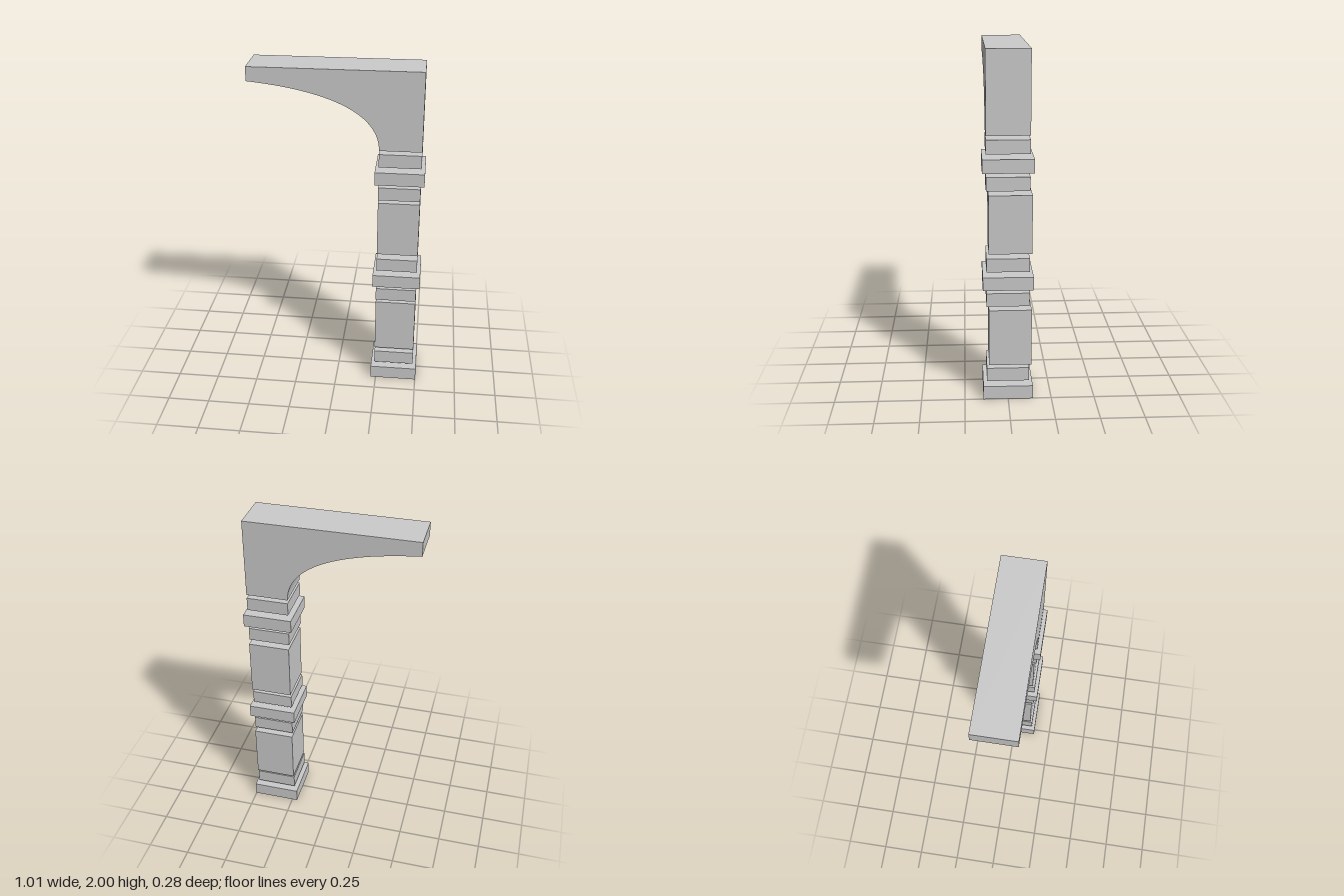
import * as THREE from 'three';

const CENTER_X = 0.36;
const NARROW = 0.243;
const WIDE = 0.285;

export function createModel() {
  const model = new THREE.Group();
  model.name = 'bracketedPillar';
  const material = new THREE.MeshStandardMaterial({ color: 0xcccccc, flatShading: true });

  // Square block between two heights; neighbours are separated by open joints
  function addBlock(name, bottom, top, width, z = 0) {
    const mesh = new THREE.Mesh(new THREE.BoxGeometry(width, top - bottom, width), material);
    mesh.position.set(CENTER_X, (bottom + top) / 2, z);
    mesh.name = name;
    model.add(mesh);
  }

  // Foot
  addBlock('base', 0, 0.08, WIDE);
  addBlock('baseCollar', 0.105, 0.185, NARROW);

  // Two storeys: a shaft set slightly back, then a ring between two collars
  ['lower', 'upper'].forEach((storey, i) => {
    const y = i * 0.67;
    addBlock(storey + 'Shaft', y + 0.205, y + 0.54, NARROW, -0.013);
    addBlock(storey + 'CollarBelowRing', y + 0.565, y + 0.643, NARROW);
    addBlock(storey + 'Ring', y + 0.668, y + 0.745, WIDE);
    addBlock(storey + 'CollarAboveRing', y + 0.77, y + 0.848, NARROW);
  });

  // Top bracket: cantilever with a curved underside
  const inner = CENTER_X - NARROW / 2;
  const outer = CENTER_X + NARROW / 2;
  const profile = new THREE.Shape();
  profile.moveTo(-0.503, 1.918);
  profile.bezierCurveTo(-0.05, 1.88, inner, 1.76, inner, 1.54);
  profile.lineTo(outer, 1.54);
  profile.lineTo(outer, 2);
  profile.lineTo(-0.503, 2);
  profile.closePath();
  const bracketGeometry = new THREE.ExtrudeGeometry(profile, {
    depth: NARROW, bevelEnabled: false, curveSegments: 24,
  });
  bracketGeometry.translate(0, 0, -NARROW / 2);
  const bracket = new THREE.Mesh(bracketGeometry, material);
  bracket.name = 'bracket';
  model.add(bracket);

  return model;
}
